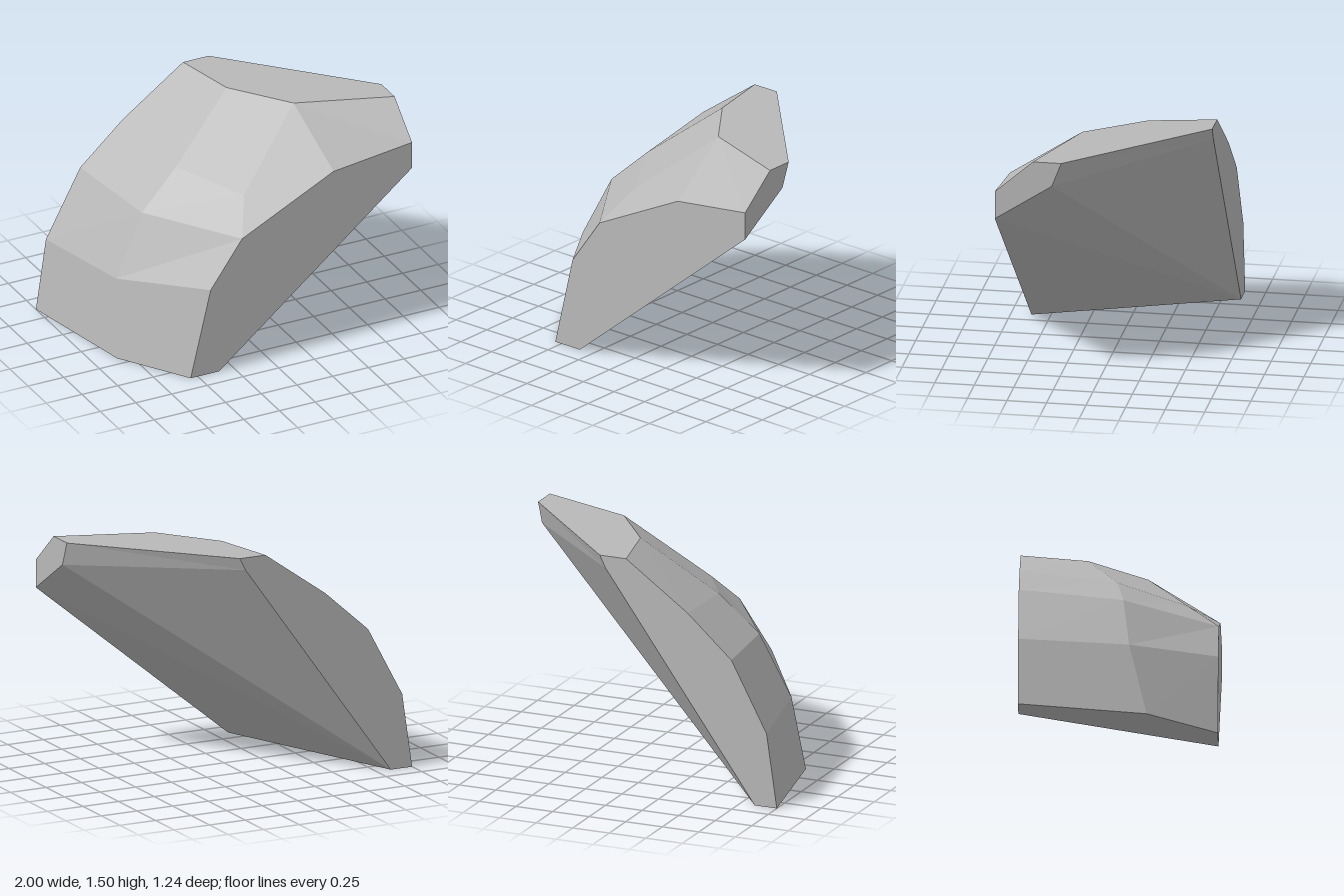
import * as THREE from 'three';

// Corners of the faceted boulder, grouped by where they lie
const corners = {
  // back outline
  k0: [-0.85, 0, -0.62], k1: [-1, 0, -0.62], k2: [-0.93, 0.48, -0.62], k3: [-0.69, 0.93, -0.62],
  k4: [-0.39, 1.2, -0.62], k5: [0.03, 1.5, -0.62], k6: [0.21, 1.5, -0.62], k7: [0.17, 1.42, -0.62],
  // ridge across the middle
  m1: [-0.84, 0, 0.18], m2: [-0.79, 0.5, 0.07], m3: [-0.59, 0.9, 0.03], m4: [-0.33, 1.14, -0.01],
  m5: [0.12, 1.5, -0.2], m6: [0.4, 1.5, 0.17], m7: [-0.08, 1.09, 0.43],
  // front outline
  f0: [-0.35, 0, 0.62], f1: [-0.55, 0, 0.62], f2: [-0.41, 0.59, 0.62], f3: [-0.19, 0.9, 0.62],
  f4: [0.45, 1.22, 0.62], f5: [1, 1.29, 0.62], f6: [1, 1.11, 0.62],
  // left end
  e0: [1, 1.5, 0.38], e1: [1, 1.5, 0.2], e2: [1, 1.345, 0.26],
};

// Flat facets, each a ring of corners
const facets = [
  'k0 k1 k2 k3 k4 k5 k6 k7',                                  // back
  'f0 f1 f2 f3 f4 f5 f6',                                     // front
  'k0 k1 m1 f1 f0',                                           // base
  'k5 k6 e1 e0 m6 m5',                                        // top
  'e0 e1 e2 f6 f5',                                           // left end
  'k0 f0 f6', 'k0 f6 e2', 'k0 e2 k7', 'k7 e2 e1 k6',          // underside
  'k1 k2 m2 m1', 'k2 k3 m3 m2', 'k3 k4 m4 m3', 'k4 k5 m5 m4', // rear slopes
  'm1 m2 f2 f1', 'm2 m3 f3 f2', 'm3 m4 m7 f3',                // front slopes
  'm4 m5 m6 m7', 'm7 m6 f4', 'm7 f4 f3', 'm6 e0 f5 f4',
];

function facetedGeometry() {
  const inside = new THREE.Vector3(-0.2, 0.8, 0);
  const positions = [];
  for (const facet of facets) {
    const ring = facet.split(' ').map((name) => new THREE.Vector3(...corners[name]));
    for (let i = 1; i < ring.length - 1; i++) {
      const tri = new THREE.Triangle(ring[0], ring[i], ring[i + 1]);
      const normal = tri.getNormal(new THREE.Vector3());
      // Turn every triangle outward
      const outward = normal.dot(tri.a.clone().sub(inside)) > 0;
      for (const p of outward ? [tri.a, tri.b, tri.c] : [tri.a, tri.c, tri.b]) positions.push(p.x, p.y, p.z);
    }
  }
  const geometry = new THREE.BufferGeometry();
  geometry.setAttribute('position', new THREE.Float32BufferAttribute(positions, 3));
  geometry.computeVertexNormals();
  return geometry;
}

export function createModel() {
  const stone = new THREE.MeshStandardMaterial({ color: 0xb8b8b8 });
  stone.name = 'stone grey';
  const boulder = new THREE.Mesh(facetedGeometry(), stone);
  boulder.name = 'boulder';
  const model = new THREE.Group();
  model.name = 'rock';
  model.add(boulder);
  return model;
}
